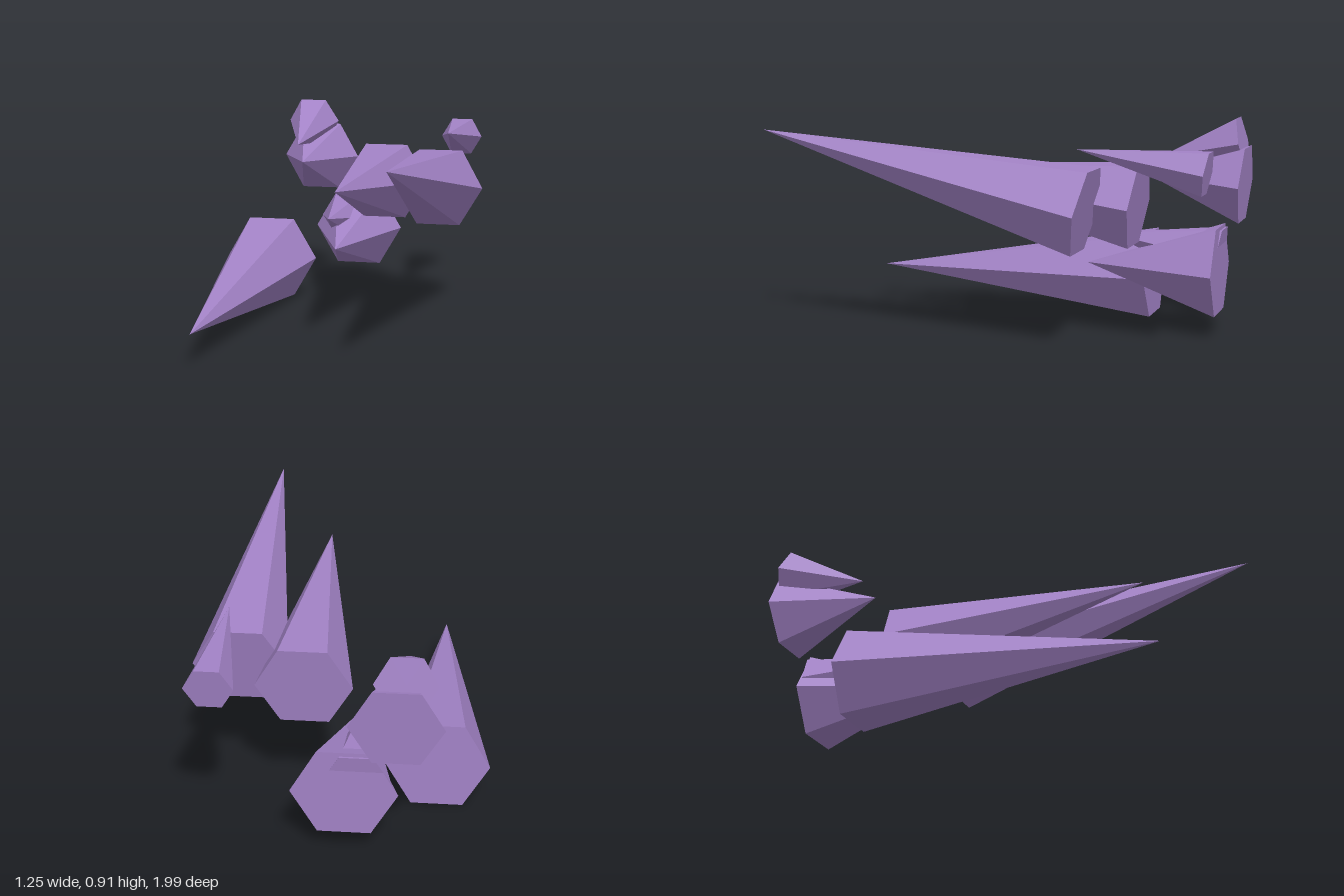
import * as THREE from 'three';

// Each spike: name, x, radius, base centre [y, z], tip [y, z]
const SPIKES = [
  ['lowerLeftSpike', -0.408, 0.218, [0.192, -0.551], [0.154, 0.785]],
  ['upperRightSpike', 0.42, 0.2, [0.577, -0.457], [0.87, 0.992]],
  ['middleSpike', 0.14, 0.2, [0.575, -0.607], [0.715, 0.575]],
  ['lowerMiddleSpike', -0.05, 0.215, [0.285, -0.92], [0.285, -0.335]],
  ['upperLeftSpike', -0.256, 0.187, [0.632, -0.986], [0.66, -0.55]],
  ['topSmallSpike', -0.29, 0.125, [0.812, -0.967], [0.735, -0.6]],
  ['rightSmallSpike', 0.46, 0.098, [0.753, -0.959], [0.833, -0.43]],
  ['innerSmallSpike', -0.1, 0.135, [0.34, -0.913], [0.413, -0.41]],
];

export function createModel() {
  const model = new THREE.Group();
  model.name = 'crystalSpikes';

  const purple = new THREE.MeshStandardMaterial({ color: 0xa383c7 });
  purple.name = 'purple';

  // Six-sided flat-faced cones, tilted only in the vertical plane
  for (const [name, x, radius, [baseY, baseZ], [tipY, tipZ]] of SPIKES) {
    const dy = tipY - baseY, dz = tipZ - baseZ;
    const cone = new THREE.ConeGeometry(radius, Math.hypot(dy, dz), 6, 1, false, Math.PI / 2);
    const flat = cone.toNonIndexed();
    flat.computeVertexNormals();
    const spike = new THREE.Mesh(flat, purple);
    spike.name = name;
    spike.position.set(x, (baseY + tipY) / 2, (baseZ + tipZ) / 2);
    spike.rotation.x = Math.atan2(dz, dy);
    model.add(spike);
  }
  return model;
}
